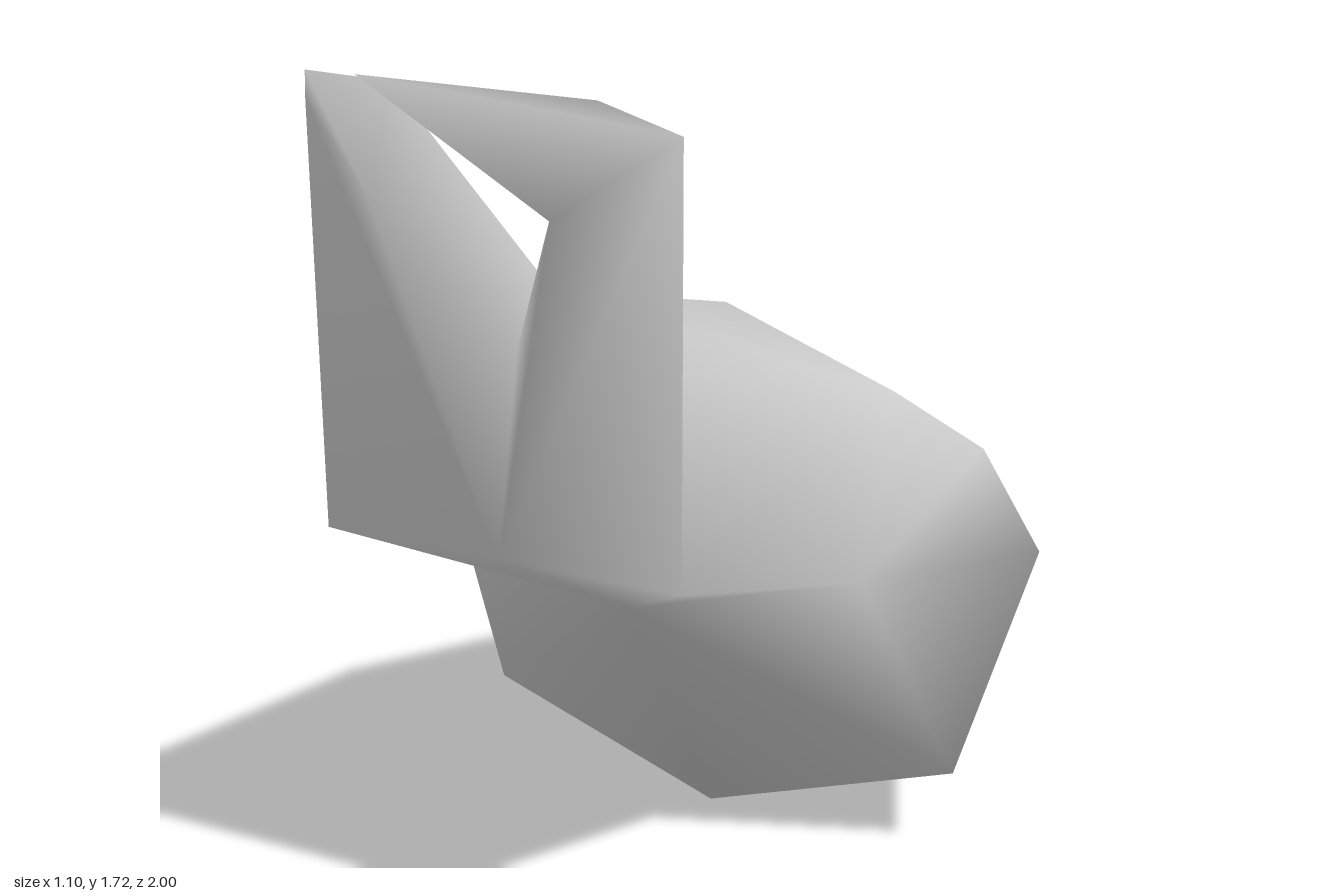
import * as THREE from 'three';

export function createModel() {
  const grey = new THREE.MeshStandardMaterial({ color: 0xcccccc, side: THREE.DoubleSide });
  grey.name = 'light grey';

  // Key points of the half on +x
  const points = {
    // centre line, from the fork over the back and under the belly
    fork: [0, 1.23, 0.35], back: [0, 1.08, -0.3], rump: [0, 0.71, -0.9], tail: [0, 0.34, -1],
    keel: [0, 0, -0.25], belly: [0, 0.53, 0.08], chin: [0, 0.76, 0.54], throat: [0, 1.14, 0.47],
    // flank
    jaw: [0.39, 0.76, 0.54], side: [0.47, 0.64, 0], hip: [0.55, 0.165, -0.28], heel: [0.47, 0.46, -0.875],
    neck: [0.27, 1.12, 0.36], shoulder: [0.37, 0.93, -0.34], rumpSide: [0.38, 0.71, -0.76],
    // pincer
    outer: [0.4, 1.58, 0.555], rear: [0.22, 1.625, 0.54], inner: [0.19, 1.43, 0.65], tip: [0.05, 1.715, 1],
  };

  // Faces, counter-clockwise from outside
  const faces = [
    // back and rump
    'fork neck shoulder back', 'back shoulder rumpSide rump', 'rump rumpSide heel tail',
    // underside
    'heel hip keel tail', 'hip side belly keel', 'belly side jaw chin',
    // flank
    'jaw side shoulder neck outer', 'side hip heel rumpSide shoulder',
    // front and the fork between the pincers
    'chin jaw outer inner', 'rear outer neck fork', 'inner rear fork throat', 'throat chin inner',
    // pincer tip
    'tip outer rear', 'tip rear inner', 'tip inner outer',
  ].map((f) => f.split(' '));

  // Both halves share the centre points, so the skin stays smooth across them
  const positions = [], index = [], ids = new Map();
  const vertex = (name, s) => {
    const [x, y, z] = points[name];
    const key = x === 0 ? name : name + s;
    if (!ids.has(key)) {
      ids.set(key, positions.length / 3);
      positions.push(x * s, y, z);
    }
    return ids.get(key);
  };
  for (const s of [1, -1]) {
    for (const face of faces) {
      const v = face.map((name) => vertex(name, s));
      if (s < 0) v.splice(1, v.length - 1, ...v.slice(1).reverse());
      // mirrored faces keep the same diagonals because the fan starts at the same corner
      for (let i = 1; i < v.length - 1; i++) index.push(v[0], v[i], v[i + 1]);
    }
  }

  const geometry = new THREE.BufferGeometry();
  geometry.setAttribute('position', new THREE.Float32BufferAttribute(positions, 3));
  geometry.setIndex(index);
  geometry.computeVertexNormals();

  const shell = new THREE.Mesh(geometry, grey);
  shell.name = 'pincerShell';
  const model = new THREE.Group();
  model.name = 'pincerBody';
  model.add(shell);
  return model;
}
